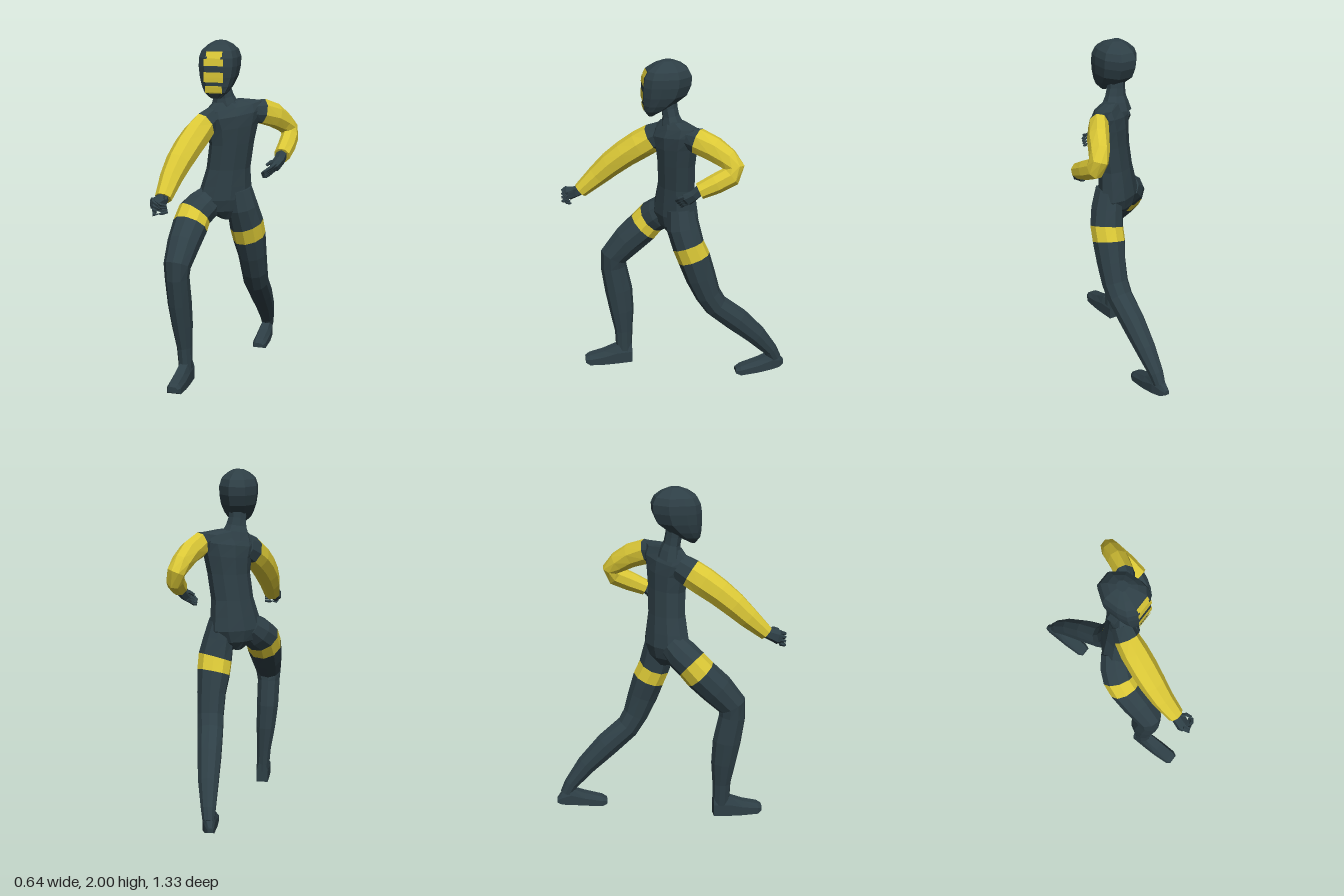
import * as THREE from 'three';

const V = (x, y, z) => new THREE.Vector3(x, y, z);

// Ring of n points around c in the plane of u and v
function ellipse(c, u, v, a, b, n) {
  return Array.from({ length: n }, (_, i) => {
    const t = (i + 0.5) / n * Math.PI * 2, k = 1.04;
    return c.clone().addScaledVector(u, a * k * Math.cos(t)).addScaledVector(v, b * k * Math.sin(t));
  });
}

// Rings along a limb; each point is [x, y, z, half width, half depth, sideways slant]
function limbRings(pts, n = 8) {
  const c = pts.map(p => V(p[0], p[1], p[2]));
  return pts.map((p, i) => {
    const t = c[Math.min(i + 1, c.length - 1)].clone().sub(c[Math.max(i - 1, 0)]).normalize();
    const u = V(1, 0, 0).addScaledVector(t, -t.x).normalize();
    const v = t.clone().cross(u);
    u.y += p[5] ?? 0;
    return ellipse(c[i], u, v, p[3], p[4] ?? p[3], n);
  });
}

// Closed, faceted skin over a list of rings
function skin(rings) {
  const pos = [], tri = (...p) => p.forEach(q => pos.push(q.x, q.y, q.z));
  const n = rings[0].length;
  const mid = r => r.reduce((s, p) => s.add(p), V(0, 0, 0)).divideScalar(n);
  const first = rings[0], last = rings[rings.length - 1], m0 = mid(first), m1 = mid(last);
  for (let i = 0; i < n; i++) {
    const j = (i + 1) % n;
    for (let k = 0; k + 1 < rings.length; k++) {
      const a = rings[k], b = rings[k + 1];
      tri(a[i], a[j], b[j]);
      tri(a[i], b[j], b[i]);
    }
    tri(m0, first[j], first[i]);
    tri(m1, last[i], last[j]);
  }
  const g = new THREE.BufferGeometry();
  g.setAttribute('position', new THREE.Float32BufferAttribute(pos, 3));
  g.computeVertexNormals();
  return g;
}

export function createModel() {
  const root = new THREE.Group();
  const suit = new THREE.MeshStandardMaterial({ color: 0x2e3f46 });
  suit.name = 'dark suit';
  const yellow = new THREE.MeshStandardMaterial({ color: 0xdac736 });
  yellow.name = 'yellow';
  const add = (name, geo, mat = suit) => {
    const m = new THREE.Mesh(geo, mat);
    m.name = name;
    root.add(m);
  };

  // Torso: [y, x, z, half width, half depth, roll], turned towards the model's left
  const yaw = 0.6, back = V(-Math.sin(yaw), 0, -Math.cos(yaw));
  const torso = [
    [0.945, -0.05, 0, 0.035, 0.05, 0], [1.0, -0.055, 0, 0.12, 0.085, 0],
    [1.07, -0.055, 0, 0.163, 0.1, 0], [1.15, -0.046, 0, 0.147, 0.095, 0],
    [1.25, -0.033, 0, 0.128, 0.088, 0], [1.4, -0.012, 0.003, 0.13, 0.088, 0.05],
    [1.5, -0.005, 0.005, 0.148, 0.09, 0.12], [1.57, -0.005, 0.01, 0.175, 0.085, 0.15],
    [1.615, -0.005, 0.01, 0.172, 0.062, 0.18], [1.65, -0.03, 0.02, 0.09, 0.045, 0.1],
  ].map(([y, x, z, a, b, roll]) =>
    ellipse(V(x, y, z), V(Math.cos(yaw), roll, -Math.sin(yaw)), back, a, b, 10));
  add('torso', skin(torso));

  // Neck, flaring into the shoulders
  add('neck', skin(limbRings([[-0.045, 1.59, 0.015, 0.095, 0.07], [-0.05, 1.64, 0.022, 0.075, 0.06],
    [-0.054, 1.675, 0.028, 0.06, 0.048], [-0.06, 1.72, 0.035, 0.052, 0.047], [-0.065, 1.8, 0.045, 0.05]])));

  // Head: [y, half width, front z, back z], with a flat face
  const headX = -0.065;
  const head = [
    [1.68, 0.03, 0.16, 0.13], [1.715, 0.068, 0.183, 0.065], [1.75, 0.086, 0.188, 0.005],
    [1.8, 0.102, 0.19, -0.06], [1.86, 0.111, 0.189, -0.086], [1.91, 0.111, 0.182, -0.09],
    [1.95, 0.098, 0.163, -0.072], [1.98, 0.066, 0.12, -0.035], [2.0, 0.03, 0.07, 0.01],
  ];
  const outline = [[1, 0.3], [0.97, -0.4], [0.42, -1], [-0.42, -1], [-0.97, -0.4],
    [-1, 0.3], [-0.9, 0.72], [-0.5, 1], [0.5, 1], [0.9, 0.72]];
  add('head', skin(head.map(([y, w, f, b]) =>
    outline.map(([px, pz]) => V(headX + px * w, y, (f + b) / 2 + pz * (f - b) / 2)))));

  // Yellow face plates following the front of the head
  const faceZ = y => {
    const i = Math.max(1, head.findIndex(h => h[0] >= y));
    const [p, q] = [head[i - 1], head[i]];
    return THREE.MathUtils.lerp(p[2], q[2], (y - p[0]) / (q[0] - p[0]));
  };
  [[1.712, 1.755, 0.1], [1.775, 1.832, 0.115], [1.868, 1.907, 0.115], [1.907, 1.92, 0.08], [1.92, 1.948, 0.095]]
    .forEach(([y0, y1, w]) => {
      let g = new THREE.PlaneGeometry(w, y1 - y0, 1, 6).translate(headX, (y0 + y1) / 2, 0);
      const p = g.attributes.position;
      for (let i = 0; i < p.count; i++) p.setZ(i, faceZ(p.getY(i)) + 0.004);
      g = g.toNonIndexed();
      g.computeVertexNormals();
      add('facePlate', g, yellow);
    });

  // Arms: a dark shoulder up to ring 1, then the yellow sleeve
  const arm = (side, pts) => {
    const r = limbRings(pts);
    add(side + 'Shoulder', skin(r.slice(0, 2)));
    add(side + 'Sleeve', skin(r.slice(1)), yellow);
  };
  arm('right', [
    [-0.105, 1.55, 0.065, 0.055, 0.075], [-0.14, 1.515, 0.125, 0.066, 0.083], [-0.165, 1.47, 0.195, 0.076, 0.084],
    [-0.192, 1.41, 0.28, 0.077, 0.079], [-0.217, 1.34, 0.365, 0.072, 0.073],
    [-0.235, 1.265, 0.445, 0.062, 0.062], [-0.245, 1.17, 0.55, 0.047, 0.043]]);
  arm('left', [
    [0.1, 1.588, -0.05, 0.045, 0.06], [0.142, 1.58, -0.095, 0.055, 0.074], [0.198, 1.545, -0.18, 0.06, 0.071],
    [0.236, 1.497, -0.25, 0.057, 0.062], [0.262, 1.45, -0.287, 0.052, 0.057], [0.272, 1.405, -0.265, 0.05, 0.06],
    [0.275, 1.365, -0.18, 0.05, 0.057], [0.27, 1.323, -0.085, 0.047, 0.046]]);

  // Hands: palm, four curled fingers and a thumb
  const hand = (side, palm, fingers) => {
    add(side + 'Palm', skin(limbRings(palm, 6)));
    fingers.forEach((f, i) => add(side + (i < 4 ? 'Finger' : 'Thumb'),
      skin(limbRings(f.map((p, k) => [...p, 0.013 - k * 0.002]), 5))));
  };
  const four = [0, 1, 2, 3];
  hand('right', [[-0.245, 1.18, 0.535, 0.032], [-0.25, 1.163, 0.575, 0.038, 0.034],
    [-0.265, 1.148, 0.62, 0.038, 0.042], [-0.268, 1.143, 0.638, 0.027, 0.032]],
    [...four.map(i => [[-0.28 + i * 0.004, 1.178 - i * 0.023, 0.628], [-0.265, 1.168 - i * 0.023, 0.655],
      [-0.225, 1.156 - i * 0.018, 0.65 - i * 0.005], [-0.198, 1.15 - i * 0.014, 0.632 - i * 0.006]]),
    [[-0.235, 1.18, 0.575], [-0.21, 1.185, 0.6], [-0.205, 1.175, 0.63]]]);
  hand('left', [[0.27, 1.335, -0.095, 0.033], [0.262, 1.3, -0.06, 0.033, 0.03],
    [0.24, 1.265, -0.02, 0.03, 0.038], [0.232, 1.258, -0.01, 0.02, 0.028]],
    [...four.map(i => [[0.25 - i * 0.006, 1.285 - i * 0.014, -0.005 - i * 0.01],
      [0.225 - i * 0.004, 1.265 - i * 0.014, 0.025 - i * 0.01], [0.195, 1.243 - i * 0.012, 0.035 - i * 0.01],
      [0.178, 1.23 - i * 0.008, 0.025 - i * 0.008]]),
    [[0.25, 1.295, -0.05], [0.215, 1.29, -0.045], [0.19, 1.27, -0.03]]]);

  // Legs, each split at the yellow thigh band (rings 2 to 3)
  const leg = (side, pts) => {
    const r = limbRings(pts, 10);
    add(side + 'Hip', skin(r.slice(0, 3)));
    add(side + 'ThighBand', skin(r.slice(2, 4)), yellow);
    add(side + 'Leg', skin(r.slice(3)));
  };
  leg('right', [
    [-0.12, 1.08, 0.025, 0.08, 0.08], [-0.165, 1.03, 0.075, 0.1, 0.093], [-0.205, 0.986, 0.122, 0.1, 0.093, -0.05],
    [-0.216, 0.925, 0.174, 0.1, 0.096, -0.05], [-0.227, 0.835, 0.268, 0.092, 0.096], [-0.235, 0.73, 0.36, 0.076, 0.083],
    [-0.236, 0.66, 0.36, 0.068, 0.077], [-0.231, 0.5, 0.332, 0.066, 0.082], [-0.222, 0.36, 0.316, 0.058, 0.072],
    [-0.212, 0.22, 0.308, 0.043, 0.053], [-0.205, 0.08, 0.308, 0.038, 0.048]]);
  leg('left', [
    [0.025, 1.12, -0.02, 0.075, 0.08], [0.045, 1.01, -0.03, 0.089, 0.095], [0.063, 0.9, -0.058, 0.097, 0.092, 0.13],
    [0.07, 0.817, -0.092, 0.095, 0.094, 0.1], [0.079, 0.7, -0.13, 0.083, 0.088], [0.081, 0.58, -0.175, 0.077, 0.075],
    [0.077, 0.5, -0.225, 0.074, 0.072], [0.071, 0.39, -0.355, 0.069, 0.075], [0.065, 0.27, -0.48, 0.058, 0.062],
    [0.056, 0.15, -0.58, 0.042, 0.043], [0.052, 0.09, -0.61, 0.034, 0.038]]);

  // Feet: slabs from heel to toe; each station is [x, z, bottom, top, half width]
  const foot = (name, stations) => add(name, skin(stations.map(([x, z, b, t, w]) =>
    [[1, b], [1, b + (t - b) * 0.6], [0.6, t], [-0.6, t], [-1, b + (t - b) * 0.6], [-1, b]]
      .map(([k, y]) => V(x + k * w, y, z)))));
  foot('rightFoot', [[-0.203, 0.26, 0.012, 0.13, 0.036], [-0.203, 0.36, 0.01, 0.128, 0.042],
    [-0.203, 0.44, 0.01, 0.096, 0.045], [-0.203, 0.53, 0.012, 0.074, 0.042], [-0.203, 0.555, 0.026, 0.06, 0.03]]);
  foot('leftFoot', [[0.037, -0.668, 0.04, 0.068, 0.015], [0.044, -0.64, 0.028, 0.1, 0.028],
    [0.052, -0.585, 0.024, 0.128, 0.038], [0.055, -0.5, 0.014, 0.092, 0.044],
    [0.055, -0.39, 0.002, 0.058, 0.042], [0.055, -0.36, 0.012, 0.04, 0.03]]);

  return root;
}
